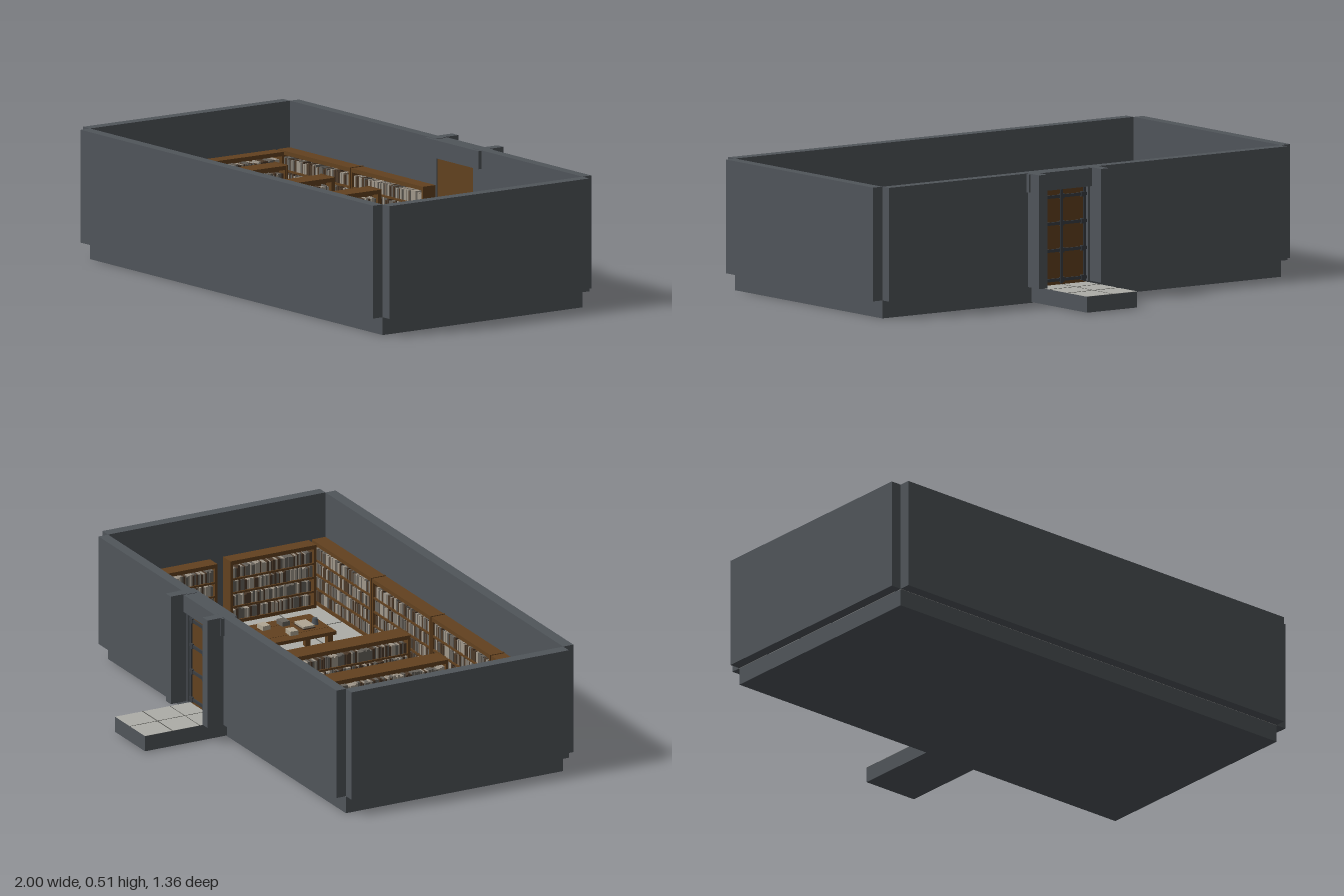
import * as THREE from 'three';
import { mergeGeometries } from 'three/addons/utils/BufferGeometryUtils.js';

const mat = (name, color) => {
  const m = new THREE.MeshStandardMaterial({ color });
  m.name = name;
  return m;
};
const M = {
  stone: mat('wallStone', 0x50555a),
  tile: mat('floorTile', 0xadada8),
  grout: mat('grout', 0x5a5a55),
  wood: mat('wood', 0x62411f),
  paper: mat('paper', 0xb0a794),
  cream: mat('paleBinding', 0xa0978a),
  grey: mat('greyBinding', 0x67625b),
  umber: mat('umberBinding', 0x4c3a2a),
  iron: mat('iron', 0x3a3e42),
};
const FLOOR = 0.07, WALL_TOP = 0.513, SHELF_TOP = 0.33;

// Box geometry from its minimum and maximum corners
const span = (x0, x1, y0, y1, z0, z1) =>
  new THREE.BoxGeometry(x1 - x0, y1 - y0, z1 - z0)
    .translate((x0 + x1) / 2, (y0 + y1) / 2, (z0 + z1) / 2);

function add(parent, name, material, ...geos) {
  const mesh = new THREE.Mesh(geos.length > 1 ? mergeGeometries(geos) : geos[0], material);
  mesh.name = name;
  parent.add(mesh);
  return mesh;
}

let seed = 7;
const rand = () => (seed = (seed * 16807) % 2147483647) / 2147483647;

// One bookcase, centred on x, back at z = 0, books facing +z
function bookcase(name, len, depth) {
  const g = new THREE.Group();
  g.name = name;
  const h = len / 2, rows = 4, base = FLOOR + 0.014, top = SHELF_TOP - 0.016;
  const step = (top - base) / rows;
  add(g, 'caseTop', M.wood, span(-h, h, top, SHELF_TOP, 0, depth));
  add(g, 'caseBack', M.wood, span(-h + 0.008, h - 0.008, FLOOR, top, 0, 0.006));
  add(g, 'casePosts', M.wood,
    span(-h, -h + 0.01, FLOOR, top, 0, depth), span(h - 0.01, h, FLOOR, top, 0, depth));
  const boards = [], books = { cream: [], grey: [], umber: [] };
  for (let r = 0; r < rows; r++) {
    const y = base + r * step;
    boards.push(span(-h + 0.01, h - 0.01, r ? y - 0.008 : FLOOR, y, 0.004, depth - 0.002));
    // Books of varied width and height along the board
    for (let x = -h + 0.011; x < h - 0.02;) {
      const w = 0.006 + rand() * 0.006, t = (0.76 + rand() * 0.2) * (step - 0.008);
      const pick = rand();
      books[pick < 0.33 ? 'cream' : pick < 0.68 ? 'grey' : 'umber'].push(
        span(x, x + w - 0.0005, y, y + t, 0.006, depth - 0.005 - rand() * 0.004));
      x += w;
    }
  }
  add(g, 'shelfBoards', M.wood, ...boards);
  for (const k in books) if (books[k].length) add(g, k + 'Books', M[k], ...books[k]);
  return g;
}

function buildShell(root) {
  const g = new THREE.Group();
  g.name = 'building';
  root.add(g);
  add(g, 'foundation', M.stone, span(-0.955, 0.955, 0, FLOOR - 0.001, -0.32, 0.635));
  add(g, 'floorTiles', M.tile, span(-0.955, 0.955, FLOOR - 0.001, FLOOR, -0.32, 0.635));
  // Fine joints between the floor slabs
  const lines = [];
  for (const x of [-0.72, -0.48, 0, 0.475, 0.715])
    lines.push(span(x - 0.002, x + 0.002, FLOOR, FLOOR + 0.001, -0.32, 0.635));
  for (const z of [-0.085, 0.155, 0.4])
    lines.push(span(-0.955, 0.955, FLOOR, FLOOR + 0.001, z - 0.002, z + 0.002));
  add(g, 'floorGrout', M.grout, ...lines);

  // Walls
  for (const s of [-1, 1])
    add(g, 'sideWall', M.stone, span(0.955, 1, FLOOR, WALL_TOP, -0.32, 0.635).translate(s < 0 ? -1.955 : 0, 0, 0));
  add(g, 'frontWall', M.stone, span(-0.955, 0.955, FLOOR, WALL_TOP, 0.635, 0.68));
  add(g, 'backWallWide', M.stone, span(-0.955, 0, FLOOR, WALL_TOP, -0.362, -0.32));
  add(g, 'backWallNarrow', M.stone, span(0.24, 0.955, FLOOR, WALL_TOP, -0.362, -0.32));

  // Doorway piers, with a wide lintel running through them
  for (const x of [-0.029, 0.267])
    add(g, 'doorPier', M.stone, span(x - 0.02, x + 0.02, FLOOR, WALL_TOP, -0.432, -0.34));
  add(g, 'lintel', M.stone, span(-0.056, 0.294, 0.44, WALL_TOP - 0.002, -0.376, -0.306));

  // Entrance step
  add(g, 'entranceStep', M.stone, span(0, 0.24, 0.003, 0.065, -0.68, -0.32));
  add(g, 'stepTiles', M.tile, span(0, 0.24, 0.065, 0.066, -0.68, -0.32));
  add(g, 'stepGrout', M.grout, span(0.119, 0.121, 0.066, 0.067, -0.68, -0.32),
    span(0, 0.24, 0.066, 0.067, -0.562, -0.558), span(0, 0.24, 0.066, 0.067, -0.441, -0.439));
}

function buildDoor(root) {
  const g = new THREE.Group();
  g.name = 'door';
  root.add(g);
  add(g, 'doorPanel', M.wood, span(0, 0.24, 0.066, 0.446, -0.35, -0.325));
  // Iron straps and studs on the outside
  const bars = [], studs = [];
  for (const x of [0.01, 0.12, 0.23]) bars.push(span(x - 0.006, x + 0.006, 0.07, 0.445, -0.355, -0.35));
  for (const y of [0.085, 0.2, 0.305, 0.41]) {
    bars.push(span(0, 0.24, y - 0.006, y + 0.006, -0.356, -0.35));
    for (const x of [0.02, 0.12, 0.22]) studs.push(span(x - 0.01, x + 0.01, y - 0.01, y + 0.01, -0.359, -0.35));
  }
  add(g, 'doorStraps', M.iron, ...bars);
  add(g, 'doorStuds', M.iron, ...studs);
}

function buildShelves(root) {
  const place = (name, len, depth, x, z, turn) => {
    const c = bookcase(name, len, depth);
    c.position.set(x, 0, z);
    c.rotation.y = turn;
    root.add(c);
  };
  // Along the back and front walls
  for (const [a, b] of [[-0.955, -0.482], [-0.478, -0.005], [0.25, 0.945]])
    place('backBookcase', b - a, 0.06, (a + b) / 2, -0.32, 0);
  for (const [a, b] of [[-0.955, -0.482], [-0.478, -0.004], [0.002, 0.472], [0.478, 0.955]])
    place('frontBookcase', b - a, 0.06, (a + b) / 2, 0.635, Math.PI);
  // Posts between neighbouring cases
  for (const [x, z] of [[-0.48, -0.288], [-0.48, 0.603], [-0.001, 0.603], [0.475, 0.603]])
    add(root, 'cornerPost', M.wood, span(x - 0.005, x + 0.005, FLOOR, SHELF_TOP + 0.003, z - 0.032, z + 0.032));
  // Along the side walls
  for (const s of [-1, 1])
    for (const [a, b] of [[-0.247, 0.128], [0.185, 0.562]])
      place('sideBookcase', b - a, 0.06, s * 0.955, (a + b) / 2, -s * Math.PI / 2);
  // Free-standing double-sided cases
  for (const x of [-0.705, -0.4, -0.097]) {
    for (const s of [-1, 1]) place('islandBookcase', 0.5, 0.043, x, 0.159, s * Math.PI / 2);
    add(root, 'islandEnd', M.wood, span(x - 0.044, x + 0.044, FLOOR, SHELF_TOP + 0.002, -0.096, -0.09));
  }
}

function buildTable(root) {
  const g = new THREE.Group();
  g.name = 'readingTable';
  g.position.set(0.467, 0, 0.155);
  root.add(g);
  const T = 0.19;
  // Three planks with narrow gaps
  add(g, 'tableTop', M.wood, ...[[-0.107, -0.055], [-0.053, 0.053], [0.055, 0.107]]
    .map(([a, b]) => span(a, b, T - 0.014, T, -0.203, 0.203)));
  const legs = [];
  for (const x of [-0.09, 0.09]) for (const z of [-0.18, 0.18])
    legs.push(span(x - 0.011, x + 0.011, FLOOR, T - 0.014, z - 0.011, z + 0.011));
  add(g, 'tableLegs', M.wood, ...legs);
  // Benches on both sides
  for (const s of [-1, 1]) {
    const x = s * 0.158;
    add(g, 'benchSeat', M.wood, span(x - 0.023, x + 0.023, 0.122, 0.134, -0.21, 0.21));
    add(g, 'benchLegs', M.wood, ...[-0.17, 0.17].map(z => span(x - 0.018, x + 0.018, FLOOR, 0.122, z - 0.01, z + 0.01)));
    // Open book and inkwell at each end
    add(g, 'bookCover', M.umber, span(-0.038, 0.038, T, T + 0.004, s * 0.121 - 0.027, s * 0.121 + 0.027));
    add(g, 'bookPages', M.paper, span(-0.036, 0.036, T + 0.004, T + 0.012, s * 0.121 - 0.025, s * 0.121 + 0.025));
    const well = add(g, 'inkwell', M.stone, new THREE.CylinderGeometry(0.01, 0.014, 0.026, 10));
    well.position.set(0, T + 0.013, s * 0.167);
  }
  // Loose books
  for (const [x, z, m, turn] of [[0.052, -0.03, M.paper, 0.08], [-0.05, 0.038, M.paper, -0.05], [0.056, 0.058, M.grey, 0.03]]) {
    const b = add(g, 'looseBook', m, new THREE.BoxGeometry(0.044, 0.018, 0.034));
    b.position.set(x, T + 0.009, z);
    b.rotation.y = turn;
  }
}

export function createModel() {
  const root = new THREE.Group();
  root.name = 'library';
  buildShell(root);
  buildDoor(root);
  buildShelves(root);
  buildTable(root);
  return root;
}
